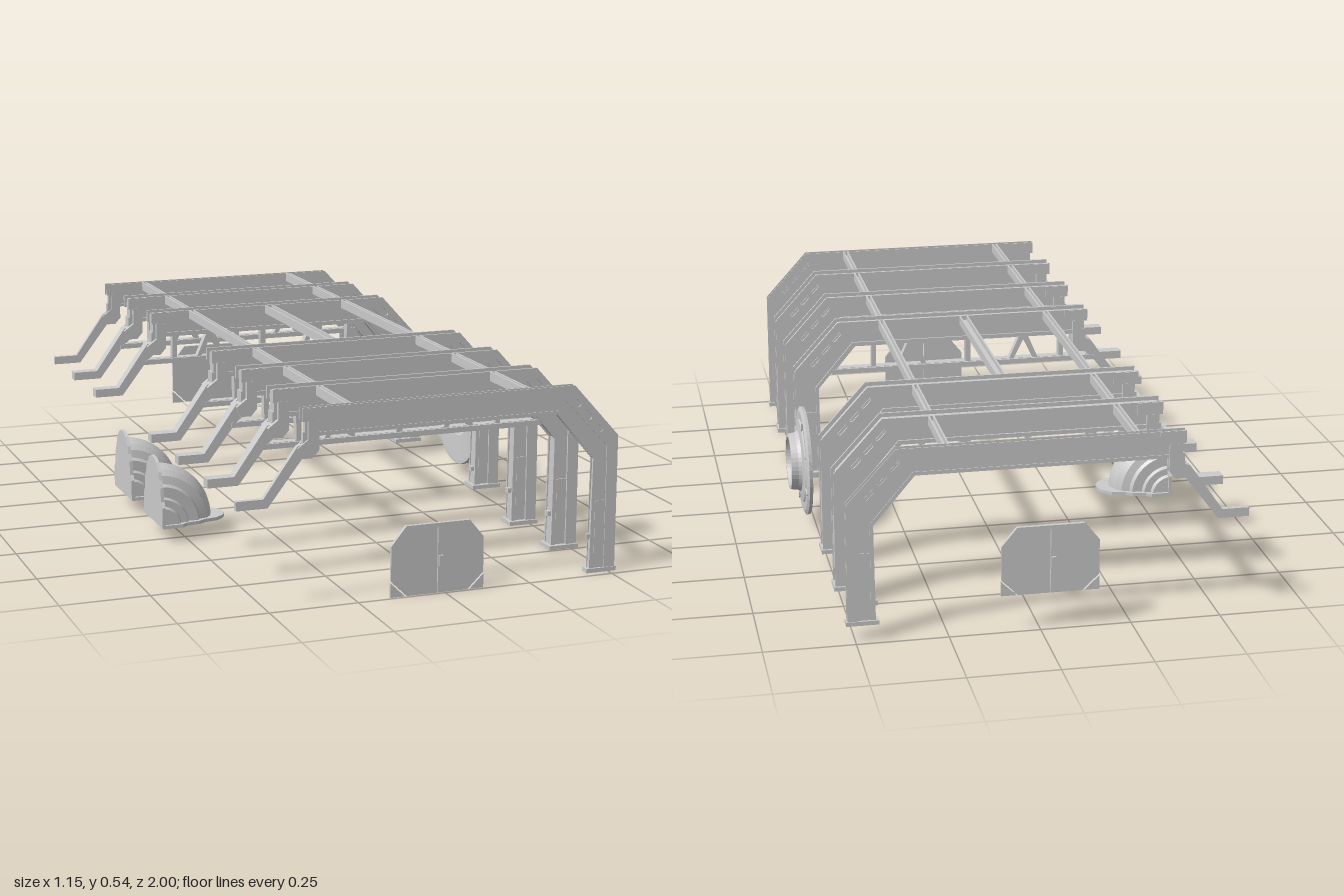
import * as THREE from 'three';

const mat = new THREE.MeshStandardMaterial({ color: 0xcccccc, side: THREE.DoubleSide });

function add(parent, geo, name, x = 0, y = 0, z = 0) {
  const m = new THREE.Mesh(geo, mat);
  m.name = name;
  m.position.set(x, y, z);
  parent.add(m);
  return m;
}
const box = (p, name, w, h, d, x, y, z) => add(p, new THREE.BoxGeometry(w, h, d), name, x, y, z);
const vecs = pts => pts.map(([x, y]) => new THREE.Vector2(x, y));

// Flat plate cut from an outline, lying between two depths
function plateGeo(pts, z0, z1, holes = []) {
  const s = new THREE.Shape(vecs(pts));
  for (const h of holes) s.holes.push(new THREE.Path(vecs(h)));
  const g = new THREE.ExtrudeGeometry(s, { depth: z1 - z0, bevelEnabled: false, curveSegments: 6 });
  return g.translate(0, 0, z0);
}
const plate = (p, name, pts, z0, z1, holes) => add(p, plateGeo(pts, z0, z1, holes), name);

// Rounded slot outline along the sloping knee
function slot(cx, cy, angle, half, r) {
  const out = [];
  for (let i = 0; i < 12; i++) {
    const a = (i < 6 ? i / 5 : 1 + (i - 6) / 5) * Math.PI - Math.PI / 2;
    const x = Math.cos(a) * r + (i < 6 ? half : -half), y = Math.sin(a) * r;
    out.push([cx + x * Math.cos(angle) - y * Math.sin(angle), cy + x * Math.sin(angle) + y * Math.cos(angle)]);
  }
  return out;
}

// Truss openings, mirrored about the middle post
const M = -0.022, Y0 = 0.384, Y1 = 0.453;
const half = [
  [[-0.31, Y0], [-0.243, Y0], [-0.213, Y1], [-0.31, Y1]],
  [[-0.228, Y0], [-0.168, Y0], [-0.198, 0.445]],
  [[-0.153, Y0], [-0.03, Y0], [-0.03, Y1], [-0.183, Y1]],
];
const trussHoles = [
  ...half,
  ...half.map(h => h.map(([x, y]) => [2 * M - x, y]).reverse()),
  [[-0.405, Y0], [-0.325, Y0], [-0.325, Y1], [-0.358, Y1], [-0.358, 0.428], [-0.375, 0.408]],
  [[0.28, Y0], [0.388, Y0], [0.33, Y1], [0.28, Y1]],
];

function createFrame(base, truss) {
  const f = new THREE.Group();
  f.name = 'archFrame';
  // Core web: beam, knee and leg, sunk below the flange edges
  plate(f, 'archCore', [[0.445, base], [0.51, base], [0.51, 0.382], [0.38, 0.525], [-0.39, 0.525],
    [-0.39, 0.458], [0.335, 0.458], [0.452, 0.325]], -0.017, 0.017);
  // Side flanges: outer band with knee slots, and thinner inner lip
  const band = [[0.487, base], [0.52, base], [0.52, 0.386], [0.385, 0.535], [-0.397, 0.535],
    [-0.397, 0.498], [0.355, 0.498], [0.487, 0.358]];
  const lip = [[0.443, base], [0.456, base], [0.456, 0.33], [0.34, 0.468], [-0.355, 0.468],
    [-0.355, 0.458], [0.335, 0.458], [0.447, 0.325]];
  const slots = [[0.39, 0.49], [0.424, 0.452], [0.458, 0.414]].map(([x, y]) => slot(x, y, -0.84, 0.012, 0.007));
  for (const s of [-1, 1]) {
    const span = (a, b) => (s > 0 ? [a, b] : [-b, -a]);
    plate(f, 'outerFlange', band, ...span(0.02, 0.026), slots);
    plate(f, 'flangeSpacer', [[0.49, base], [0.505, base], [0.505, 0.365], [0.365, 0.515], [-0.39, 0.515],
      [-0.39, 0.5], [0.358, 0.5], [0.49, 0.36]], ...span(0.016, 0.0202));
    plate(f, 'innerLip', lip, ...span(0.016, 0.022));
    // Collar over the elbow
    plate(f, 'elbowCollar', [[-0.4, 0.4], [-0.37, 0.4], [-0.352, 0.42], [-0.352, 0.5], [-0.382, 0.5],
      [-0.382, 0.45], [-0.412, 0.428]], ...span(0.016, 0.03));
    box(f, 'collarStrap', 0.072, 0.034, 0.004, -0.361, 0.517, s * 0.027);
    box(f, 'legPanel', 0.03, 0.15, 0.005, 0.472, base + 0.13, s * 0.0185);
  }
  // Bent arm on the low side
  plate(f, 'bentArm', [[-0.58, 0.275], [-0.493, 0.275], [-0.397, 0.4], [-0.368, 0.4], [-0.354, 0.425],
    [-0.354, 0.47], [-0.395, 0.47], [-0.395, 0.437], [-0.41, 0.434], [-0.505, 0.3], [-0.58, 0.3]], -0.018, 0.018);
  // Foot, access panel and latch on the leg
  box(f, 'foot', 0.09, 0.012, 0.064, 0.479, base + 0.006, 0);
  box(f, 'outerLegPanel', 0.012, 0.15, 0.038, 0.512, base + 0.13, 0);
  box(f, 'latch', 0.014, 0.014, 0.018, 0.443, 0.102, 0);
  if (truss) {
    plate(f, 'truss', [[-0.432, 0.368], [0.412, 0.368], [0.412, 0.38], [0.345, 0.462], [-0.36, 0.462],
      [-0.36, 0.428], [-0.38, 0.405], [-0.425, 0.382]], -0.012, 0.012, trussHoles);
    box(f, 'bottomChord', 0.83, 0.015, 0.038, -0.01, 0.3755, 0);
  }
  return f;
}

// Roof rail of channel section between two depths
function createRail(p, x, w, z0, z1) {
  const len = z1 - z0, z = (z0 + z1) / 2;
  box(p, 'railWeb', w, 0.012, len, x, 0.516, z);
  for (const s of [-1, 1]) box(p, 'railFlange', 0.005, 0.026, len, x + s * (w / 2 - 0.0025), 0.522, z);
}

// Quarter-round stepped housing with back and base plates
function createHousing(z) {
  const g = new THREE.Group();
  g.name = 'quarterHousing';
  g.position.set(-0.578, 0.045, z);
  const sym = pts => [...pts, ...pts.map(([w, r]) => [-w, r]).reverse()];
  const side = [[0.088, 0], [0.088, 0.055], [0.078, 0.06], [0.078, 0.08], [0.068, 0.085], [0.068, 0.115],
    [0.058, 0.122], [0.052, 0.145], [0.036, 0.16], [0.018, 0.168], [0.005, 0.171]];
  const lathe = new THREE.LatheGeometry(sym(side).reverse().map(([w, r]) => new THREE.Vector2(r, w)),
    20, Math.PI / 2, Math.PI / 2).rotateX(Math.PI / 2).toNonIndexed();
  lathe.computeVertexNormals();
  add(g, lathe, 'steppedShell');
  const X = new THREE.Vector3(1, 0, 0), Y = new THREE.Vector3(0, 1, 0), Z = new THREE.Vector3(0, 0, 1);
  const outline = tip => sym([[0.096, 0], [0.096, 0.06], [0.084, 0.075], [0.078, 0.115], [0.066, 0.135],
    [0.058, tip - 0.035], [0.036, tip - 0.01], [0.015, tip]]);
  add(g, plateGeo(outline(0.21), 0, 0.01).applyMatrix4(new THREE.Matrix4().makeBasis(Z, X, Y)), 'basePlate', 0, -0.003, 0);
  add(g, plateGeo(outline(0.192), 0, 0.01).applyMatrix4(new THREE.Matrix4().makeBasis(Z, Y, X.clone().negate())), 'backPlate', 0.008, 0, 0);
  return g;
}

// Round port with a wide rim and a projecting hub
function createPort() {
  const g = new THREE.Group();
  g.name = 'roundPort';
  g.position.set(0, 0.2, -0.125);
  const profile = [[0.07, 0.527], [0.15, 0.522], [0.16, 0.522], [0.162, 0.532], [0.15, 0.538], [0.125, 0.537],
    [0.12, 0.541], [0.09, 0.545], [0.085, 0.555], [0.083, 0.575], [0.073, 0.575], [0.07, 0.56], [0.07, 0.527]];
  const geo = new THREE.LatheGeometry(vecs(profile), 40).rotateZ(-Math.PI / 2).toNonIndexed();
  geo.computeVertexNormals();
  add(g, geo, 'portRing');
  for (let i = 0; i < 8; i++) {
    const a = (i + 0.5) * Math.PI / 4;
    const rib = box(g, 'rimRib', 0.006, 0.06, 0.006, 0.538, Math.cos(a) * 0.12, Math.sin(a) * 0.12);
    rib.rotation.x = a;
  }
  return g;
}

// Two-leaf hatch with chamfered corners and corner feet
function createHatch() {
  const g = new THREE.Group();
  g.name = 'hatch';
  for (const s of [-1, 1]) {
    const m = pts => pts.map(([x, y]) => [x * s, y]);
    plate(g, 'hatchLeaf', m([[0.001, 0], [0.088, 0], [0.134, 0.045], [0.134, 0.142], [0.09, 0.187], [0.001, 0.187]]), -0.004, 0.004);
    plate(g, 'hatchRim', m([[0, 0.185], [0.088, 0.185], [0.13, 0.142], [0.135, 0.142], [0.092, 0.195], [0, 0.195]]), -0.005, 0.006);
    plate(g, 'cornerFoot', m([[0.094, 0], [0.135, 0], [0.135, 0.04]]), -0.004, 0.004);
  }
  box(g, 'hatchHandle', 0.012, 0.03, 0.007, 0.008, 0.09, 0.0075);
  return g;
}

export function createModel() {
  const root = new THREE.Group();
  root.name = 'hangarFramework';
  // Seven arches; the end ones are thin and have no truss
  const zs = [-0.965, -0.712, -0.445, 0.178, 0.446, 0.712, 0.963];
  zs.forEach((z, i) => {
    const end = i === 0 || i === 6;
    const f = createFrame(z > 0.3 ? 0 : 0.043, !end);
    f.position.z = z;
    if (end) f.scale.z = 0.42;
    root.add(f);
  });
  // Roof rails between neighbouring arches
  for (let i = 0; i < 6; i++) {
    const a = zs[i] + (i ? 0.02 : 0.005), b = zs[i + 1] - (i < 5 ? 0.02 : 0.005);
    createRail(root, -0.264, 0.018, a, b);
    createRail(root, 0.25, 0.018, a, b);
    if (i === 2) createRail(root, -0.006, 0.027, a, b);
  }
  for (const z of [-0.125, 0.2]) root.add(createHousing(z));
  root.add(createPort());
  // End hatches facing outwards
  const front = createHatch();
  front.position.set(-0.02, 0, 0.988);
  const back = createHatch();
  back.position.set(-0.027, 0.103, -0.988);
  back.rotation.y = Math.PI;
  root.add(front, back);
  return root;
}
